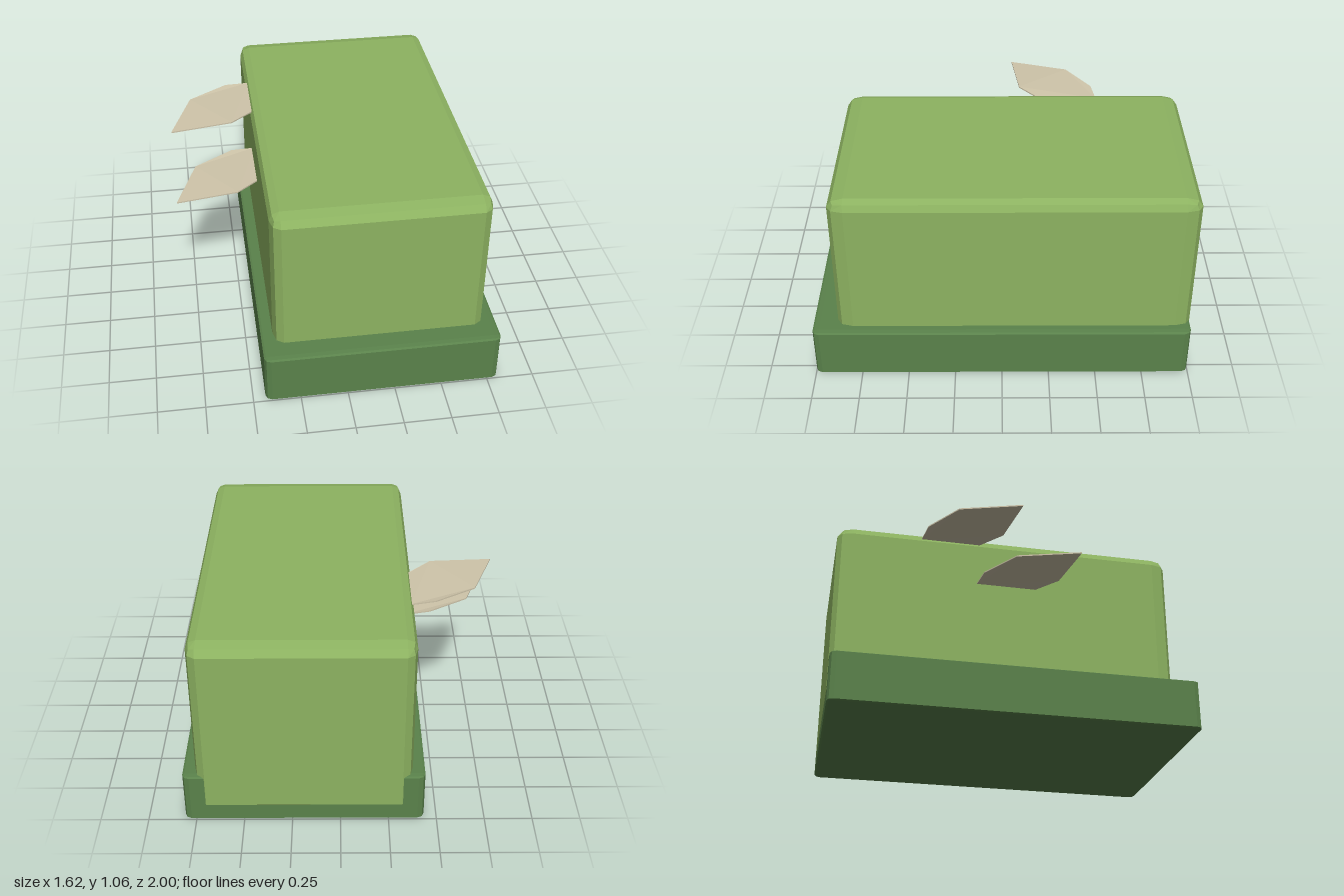
import * as THREE from 'three';
import { RoundedBoxGeometry } from 'three/addons/geometries/RoundedBoxGeometry.js';

const bodyGreen = new THREE.MeshStandardMaterial({ color: 0x8db361, name: 'light green' });
const baseGreen = new THREE.MeshStandardMaterial({ color: 0x5a824b, name: 'dark green' });
const leafBeige = new THREE.MeshStandardMaterial({ color: 0xcfc5aa, name: 'beige' });

// Flat-faceted box between two corners, with its own bevel size along each axis
function bevelBox(name, material, min, max, bevel) {
  const size = max.map((v, i) => v - min[i]);
  const geo = new RoundedBoxGeometry(...size.map((s, i) => s / bevel[i]), 1, 1);
  geo.scale(...bevel);
  geo.translate(...min.map((v, i) => (v + max[i]) / 2));
  geo.computeVertexNormals();
  const mesh = new THREE.Mesh(geo, material);
  mesh.name = name;
  return mesh;
}

// Thin, gently drooping leaf; its root is buried in the body
function leaf(name, y, z) {
  const outline = [
    [-0.3, -0.545], [-0.36, -0.54], [-0.49, -0.52], [-0.7, -0.385],
    [-0.815, -0.065], [-0.485, -0.105], [-0.36, -0.22], [-0.3, -0.28],
  ].map(([x, zz]) => new THREE.Vector2(x, zz));
  const geo = new THREE.ExtrudeGeometry(new THREE.Shape(outline), { depth: 0.007, bevelEnabled: false });
  geo.rotateX(Math.PI / 2);
  const pos = geo.attributes.position;
  for (let i = 0; i < pos.count; i++) {
    const d = pos.getX(i) + 0.57;
    pos.setY(i, pos.getY(i) - 0.2 * d * d);
  }
  geo.computeVertexNormals();
  const mesh = new THREE.Mesh(geo, leafBeige);
  mesh.name = name;
  mesh.position.set(0, y, z);
  return mesh;
}

export function createModel() {
  const group = new THREE.Group();
  group.name = 'leafyBlock';
  group.add(
    bevelBox('base', baseGreen, [-0.435, 0, -0.998], [0.81, 0.28, 1], [0.035, 0.008, 0.035]),
    // The back of the body shows through the back of the base
    bevelBox('body', bodyGreen, [-0.373, 0.05, -1], [0.747, 1.062, 0.872], [0.053, 0.05, 0.085]),
    leaf('upperLeaf', 1.041, 0),
    leaf('lowerLeaf', 0.791, 0.31),
  );
  return group;
}
